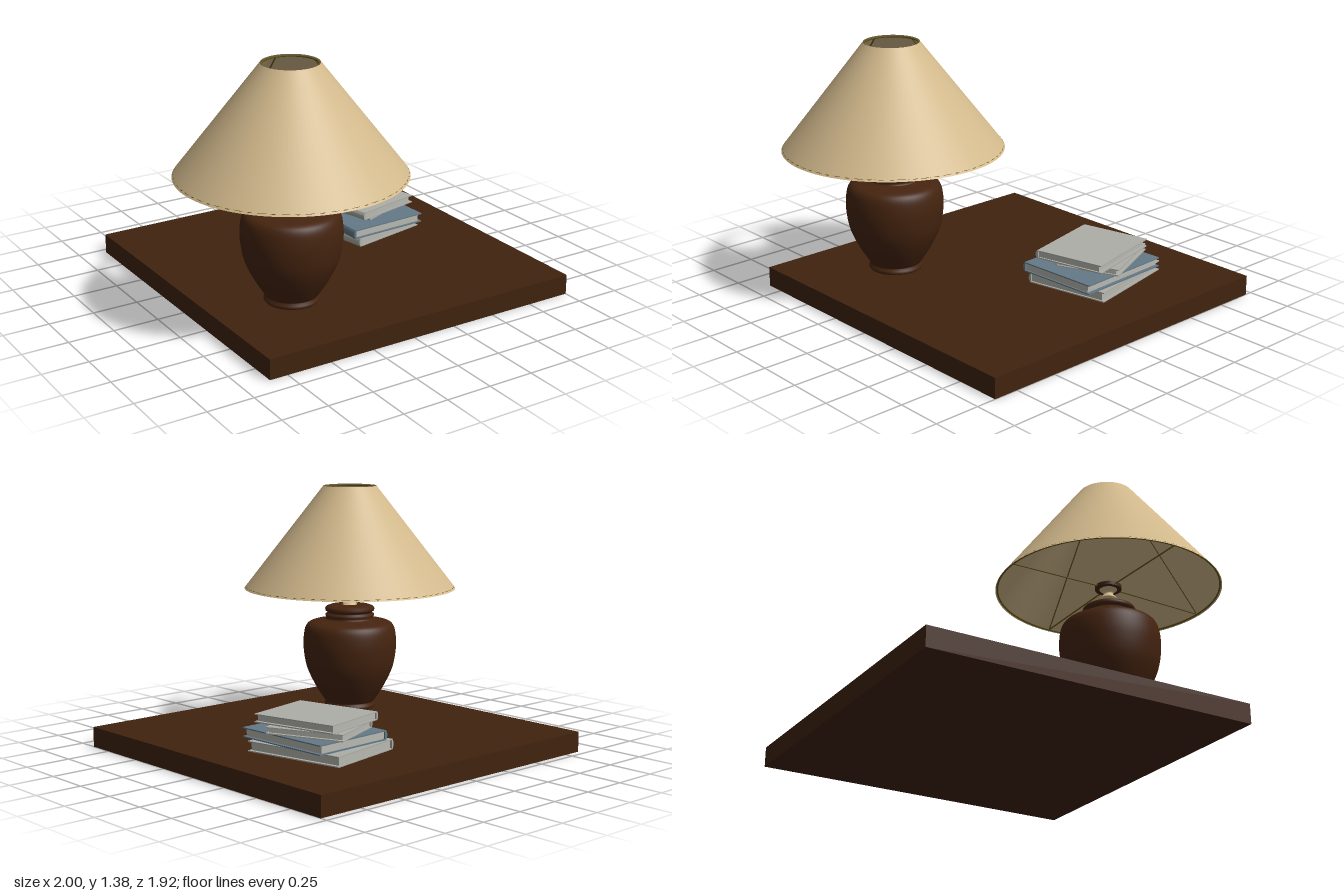
import * as THREE from 'three';

const mat = (name, color, extra = {}) => {
  const m = new THREE.MeshStandardMaterial({ color, ...extra });
  m.name = name;
  return m;
};

export function createModel() {
  const wood = mat('dark wood', 0x40230e);
  const glaze = mat('brown glaze', 0x45240f);
  const linen = mat('linen shade', 0xd2b98c, { side: THREE.DoubleSide });
  const wire = mat('brass wire', 0x64561a);
  const grey = mat('grey cover', 0xaeaea8);
  const blue = mat('blue cover', 0x647988);
  const paper = mat('paper', 0xb9b9b2);

  const root = new THREE.Group();
  root.name = 'tableLampAndBooks';
  const add = (parent, name, geometry, material, x = 0, y = 0, z = 0) => {
    const mesh = new THREE.Mesh(geometry, material);
    mesh.name = name;
    mesh.position.set(x, y, z);
    parent.add(mesh);
    return mesh;
  };
  const v2 = (list) => list.map(([r, y]) => new THREE.Vector2(r, y));

  // Square slab
  add(root, 'tableTop', new THREE.BoxGeometry(1.85, 0.11, 1.85), wood, 0.075, 0.055, -0.035);

  // Lamp
  const lamp = new THREE.Group();
  lamp.name = 'lamp';
  lamp.position.set(-0.4, 0, 0.355);
  root.add(lamp);

  // Urn: rounded foot, swelling belly, then a stepped collar
  const belly = new THREE.SplineCurve(v2([
    [0.136, 0.14], [0.16, 0.175], [0.205, 0.25], [0.247, 0.345], [0.265, 0.45],
    [0.263, 0.53], [0.25, 0.58], [0.222, 0.603], [0.165, 0.614], [0.138, 0.622],
  ])).getPoints(36);
  const foot = v2([[0, 0.11], [0.142, 0.11], [0.148, 0.118], [0.146, 0.13]]);
  const collar = v2([
    [0.134, 0.632], [0.14, 0.64], [0.138, 0.648], [0.125, 0.655], [0.127, 0.66], [0.139, 0.668],
    [0.141, 0.68], [0.135, 0.69], [0.115, 0.698], [0.09, 0.702], [0, 0.702],
  ]);
  add(lamp, 'urnBase', new THREE.LatheGeometry([...foot, ...belly, ...collar], 64), glaze);

  // Turned neck and socket
  const neck = new THREE.SplineCurve(v2([
    [0.045, 0.7], [0.03, 0.715], [0.026, 0.725], [0.04, 0.745], [0.043, 0.755],
    [0.026, 0.775], [0.03, 0.788], [0.047, 0.805],
  ])).getPoints(28);
  add(lamp, 'neck', new THREE.LatheGeometry(neck, 32), linen);
  add(lamp, 'socket', new THREE.CylinderGeometry(0.07, 0.07, 0.02, 32), glaze, 0, 0.815, 0);

  // Open conical shade
  add(lamp, 'shade', new THREE.CylinderGeometry(0.15, 0.6, 0.58, 96, 1, true), linen, 0, 1.09, 0);

  // Wire frame inside the shade: two hoops, four ribs, four spokes
  const hoop = (name, radius, y) => {
    add(lamp, name, new THREE.TorusGeometry(radius, 0.005, 6, 64), wire, 0, y, 0).rotation.x = Math.PI / 2;
  };
  hoop('bottomHoop', 0.59, 0.806);
  hoop('topHoop', 0.144, 1.372);
  const rod = (name, a, b, angle) => {
    const path = new THREE.LineCurve3(new THREE.Vector3(...a), new THREE.Vector3(...b));
    add(lamp, name, new THREE.TubeGeometry(path, 1, 0.004, 6), wire).rotation.y = angle;
  };
  for (let i = 0; i < 4; i++) {
    const angle = i * Math.PI / 2;
    rod('shadeRib', [0.588, 0.806, 0], [0.142, 1.372, 0], angle);
    rod('shadeSpoke', [0.065, 0.815, 0], [0.59, 0.806, 0], angle);
  }

  // Books: two boards, a rounded spine on the left edge and an inset page block
  const book = (name, cover, w, d, y0, y1, x, z, degrees) => {
    const g = new THREE.Group();
    g.name = name;
    g.position.set(x, y0, z);
    g.rotation.y = THREE.MathUtils.degToRad(degrees);
    root.add(g);
    const h = y1 - y0, t = 0.006;
    const board = new THREE.BoxGeometry(w - 0.01, t, d);
    add(g, 'bottomBoard', board, cover, 0.005, t / 2, 0);
    add(g, 'topBoard', board, cover, 0.005, h - t / 2, 0);
    add(g, 'pages', new THREE.BoxGeometry(w - 0.03, h - 2 * t, d - 0.02), paper, -0.003, h / 2, 0);
    const outline = new THREE.Shape();
    outline.moveTo(0.012, 0);
    outline.lineTo(0.01, 0);
    outline.quadraticCurveTo(-0.01, h / 2, 0.01, h);
    outline.lineTo(0.016, h);
    outline.lineTo(0.016, 0);
    const spine = new THREE.ExtrudeGeometry(outline, { depth: d, bevelEnabled: false, curveSegments: 8 });
    add(g, 'spine', spine, cover, -w / 2, 0, -d / 2);
  };
  book('bottomBook', grey, 0.476, 0.566, 0.113, 0.168, 0.447, -0.343, 11.5);
  book('blueBook', blue, 0.475, 0.565, 0.169, 0.221, 0.456, -0.306, 2.5);
  book('thirdBook', grey, 0.365, 0.425, 0.222, 0.259, 0.472, -0.36, 23);
  book('topBook', grey, 0.406, 0.482, 0.26, 0.305, 0.45, -0.313, 13);

  return root;
}
